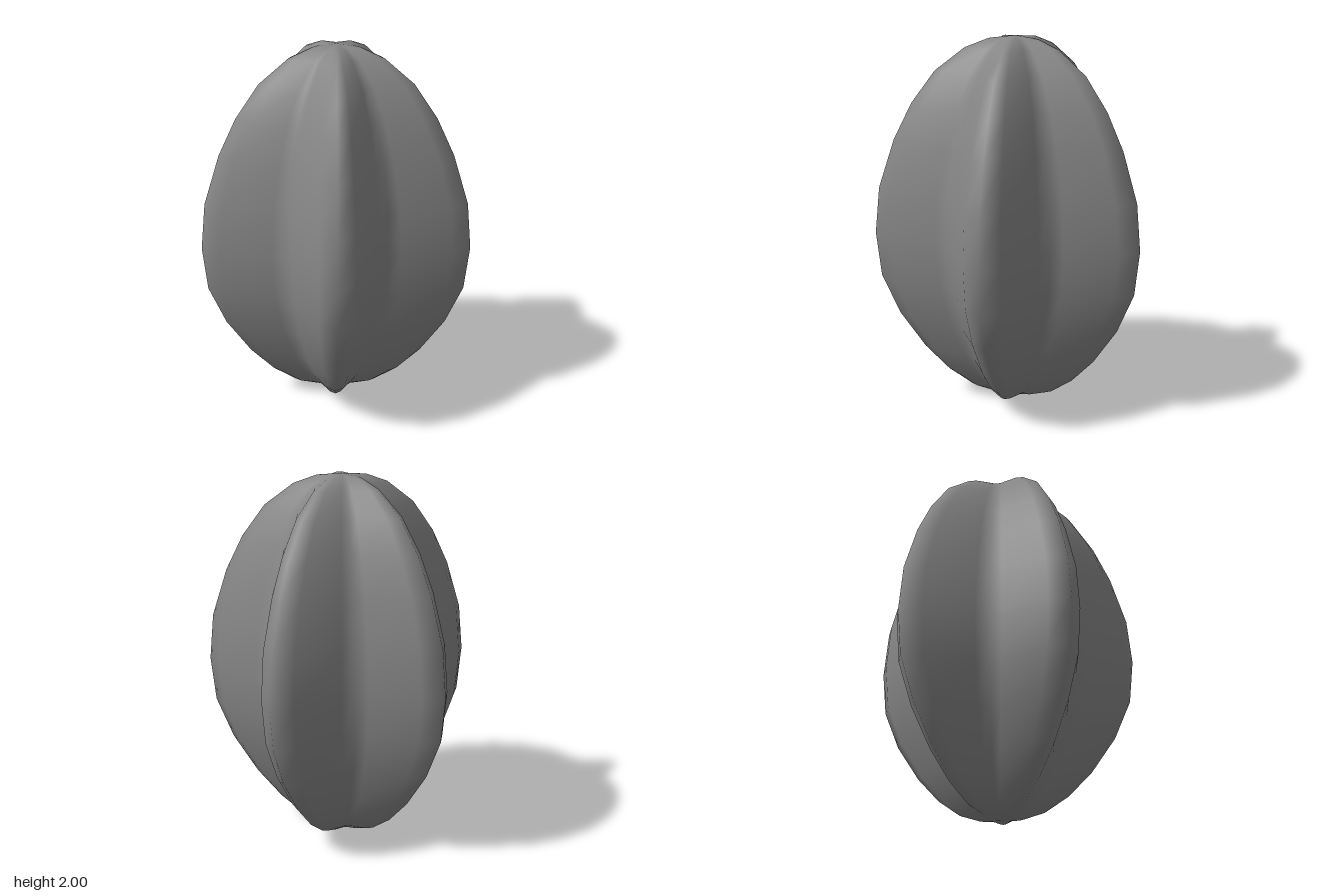
import * as THREE from 'three';

// Height and rib radius of each ring, from bottom to top
const RINGS = [
  [0.012, 0.12], [0.055, 0.235], [0.15, 0.365], [0.29, 0.495], [0.49, 0.63], [0.71, 0.724],
  [0.95, 0.75], [1.2, 0.725], [1.46, 0.64], [1.65, 0.545], [1.82, 0.42], [1.94, 0.262], [1.986, 0.14],
];

// One of five lobes, valley to valley: degrees and share of the rib radius
const LOBE = [[0, 0.625], [8, 0.652], [28, 0.91], [36, 1], [44, 0.91], [64, 0.652]];
const LOBES = 5;

// Closed star-shaped skin with a shared vertex at each pole
function starFruitGeometry() {
  const section = [];
  for (let k = 0; k < LOBES; k++) {
    for (const [deg, r] of LOBE) {
      const a = THREE.MathUtils.degToRad(deg + k * 360 / LOBES);
      section.push([r * Math.cos(a), r * Math.sin(a)]);
    }
  }
  const n = section.length;
  const positions = [];
  const index = [];
  for (const [y, radius] of RINGS) {
    for (const [x, z] of section) positions.push(x * radius, y, z * radius);
  }
  const bottom = RINGS.length * n;
  const top = bottom + 1;
  positions.push(0, 0, 0, 0, 2, 0);

  const last = (RINGS.length - 1) * n;
  for (let j = 0; j < n; j++) {
    const j2 = (j + 1) % n;
    index.push(bottom, j, j2);
    for (let o = 0; o < last; o += n) {
      const a = o + j, b = o + j2;
      index.push(a, a + n, b, b, a + n, b + n);
    }
    index.push(last + j, top, last + j2);
  }

  const geometry = new THREE.BufferGeometry();
  geometry.setAttribute('position', new THREE.Float32BufferAttribute(positions, 3));
  geometry.setIndex(index);
  geometry.computeVertexNormals();
  return geometry;
}

export function createModel() {
  const group = new THREE.Group();
  group.name = 'starFruit';
  // Dark grey skin
  const fruit = new THREE.Mesh(
    starFruitGeometry(),
    new THREE.MeshStandardMaterial({ color: 0x868686 }),
  );
  fruit.name = 'fruitBody';
  // The five-lobed section is offset so its outer bounds are centred
  fruit.position.x = 0.07;
  group.add(fruit);
  return group;
}
